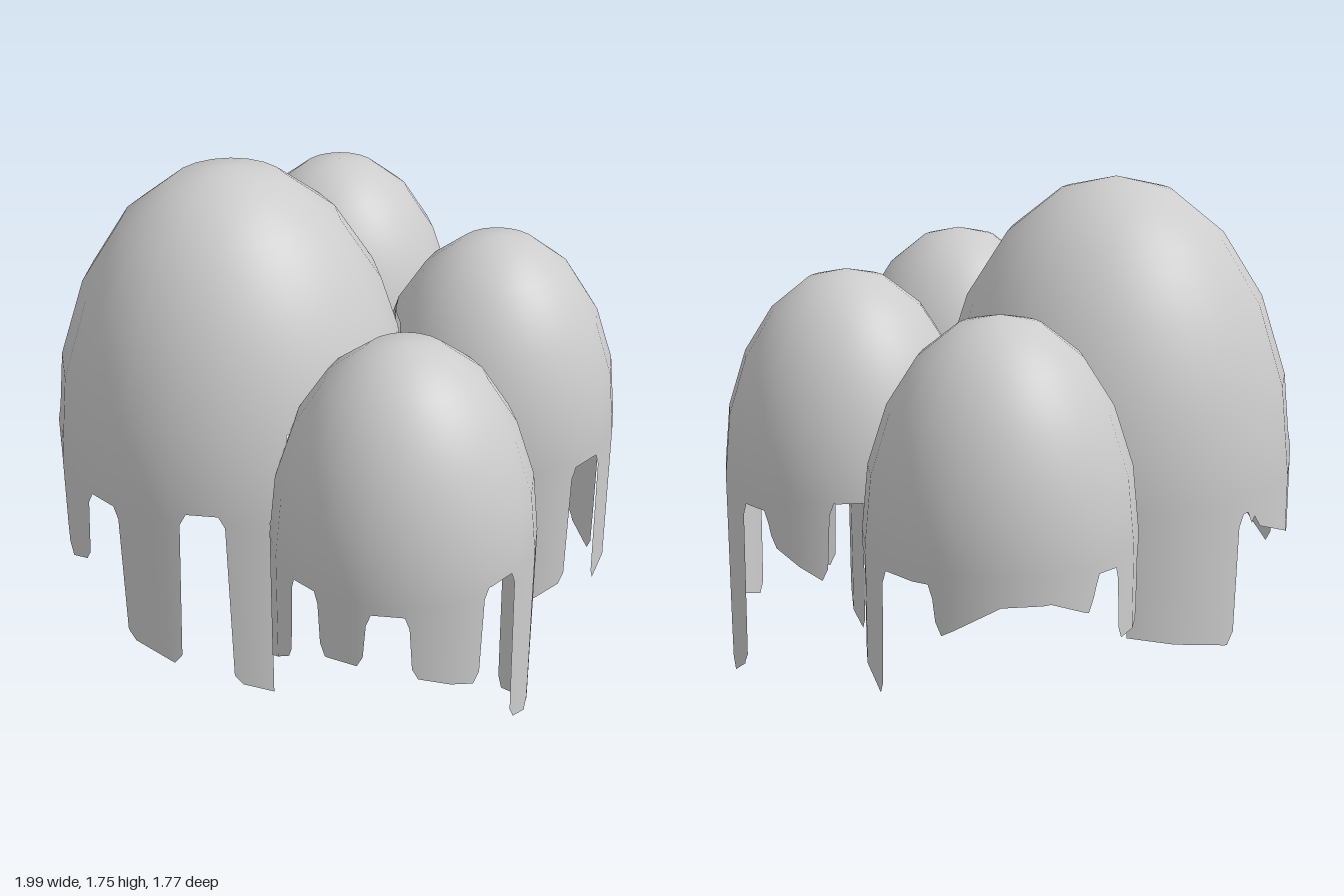
import * as THREE from 'three';

const RAD = Math.PI / 180;
const EQUATOR = 0.8;      // height where the domes turn into hanging skirts
const FACET = 18;         // degrees per coarse facet
const PHASE = -4;

// Strips: [startDeg, endDeg, bottomAtStart, bottomAtEnd, gapTopAfter, bottomAtMiddle?]
// Angles run from +z towards +x.
const DOMES = [
  { name: 'largeDome', x: -0.25, z: 0.28, r: 0.6, h: 0.955, start: -190, gap: 0.78,
    strips: [
      [-135, -90, 0.4, 0.32, 0.75],
      [-82, -43, 0.69, 0.56, 0.84],
      [-22, -3, 0.43, 0.5, 0.785],
      [13, 33, 0.28, 0.235, 0.83],
      [49, 66, 0.17, 0.12, 0.8]] },
  { name: 'frontSmallDome', x: 0.58, z: 0.275, r: 0.418, h: 0.666, start: -100, gap: 0.8,
    strips: [
      [-60, -8, 0.23, 0.47, 0.79],
      [10, 31, 0.57, 0.57, 0.77],
      [51, 82, 0.54, 0.48, 0.825],
      [102, 122, 0.25, 0.2, 0.75],
      [141, 174, 0.08, 0, 0.76]] },
  { name: 'backSmallDome', x: 0.24, z: -0.45, r: 0.418, h: 0.666, start: 0, gap: 0.75,
    strips: [
      [64, 84, 0.29, 0.32, 0.775],
      [105, 135, 0.25, 0.31, 0.71],
      [158, 178, 0.12, 0.18, 0.75],
      [197, 225, 0.63, 0.54, 0.8]] },
  { name: 'backSideDome', x: -0.58, z: -0.47, r: 0.418, h: 0.666, start: 30, gap: 0.74,
    strips: [
      [96, 132, 0.66, 0.66, 0.75],
      [154, 175, 0.42, 0.36, 0.76],
      [204, 272, 0.61, 0.66, 0.77, 0.71],
      [288, 315, 0.535, 0.535, 0.76]] },
];

// Lower edge of the skirt as [deg, y] points with rounded strip corners
function skirtOutline({ start, gap, strips }) {
  const points = [[start, gap]];
  let before = gap;
  for (const [a, b, ya, yb, after, mid] of strips) {
    points.push([a - 3, before], [a - 1, before - 0.04], [a + 0.3, ya + 0.04], [a + 3, ya]);
    if (mid) points.push([a + (b - a) * 0.4, mid], [a + (b - a) * 0.7, mid]);
    points.push([b - 3, yb], [b - 0.3, yb + 0.04], [b + 1, after - 0.04], [b + 3, after]);
    before = after;
  }
  points.push([start + 360, before]);
  return points;
}

function sample(points, deg) {
  for (let i = 1; i < points.length; i++) {
    const [a, ya] = points[i - 1], [b, yb] = points[i];
    if (deg <= b) return b === a ? yb : ya + ((yb - ya) * (deg - a)) / (b - a);
  }
  return points[points.length - 1][1];
}

// Vertical planes where a dome meets its neighbours
function joinPlanes(dome) {
  const planes = [];
  for (const other of DOMES) {
    if (other === dome) continue;
    const dx = other.x - dome.x, dz = other.z - dome.z, d = Math.hypot(dx, dz);
    if (d >= dome.r + other.r) continue;
    const dist = (d * d + dome.r ** 2 - other.r ** 2) / (2 * d);
    planes.push({ dir: Math.atan2(dx, dz) / RAD, dist, half: Math.acos(dist / dome.r) / RAD });
  }
  return planes;
}

// Dome profile, straight between coarse rings
function profileRings(dome) {
  const rings = [], sub = 3;
  for (let k = 0; k < 5; k++) {
    for (let s = 0; s < sub; s++) {
      const t = s / sub, a = k * 18 * RAD, b = (k + 1) * 18 * RAD;
      rings.push([
        dome.r * THREE.MathUtils.lerp(Math.sin(a), Math.sin(b), t),
        EQUATOR + dome.h * THREE.MathUtils.lerp(Math.cos(a), Math.cos(b), t)]);
    }
  }
  rings.push([dome.r, EQUATOR], [dome.r, -1]);
  return rings;
}

function domeGeometry(dome) {
  const outline = skirtOutline(dome), planes = joinPlanes(dome), rings = profileRings(dome);
  const wrap = (deg) => dome.start + ((((deg - dome.start) % 360) + 360) % 360);

  // Columns at facet edges, strip corners and joins
  let columns = outline.map((p) => p[0]);
  for (let d = 0; d < 360; d += FACET / 4) columns.push(wrap(PHASE + d));
  for (const p of planes) columns.push(wrap(p.dir - p.half), wrap(p.dir + p.half));
  columns.sort((a, b) => a - b);
  columns = columns.filter((d, i) => i === 0 || d - columns[i - 1] > 1e-4);

  const positions = [], normals = [], joined = [], index = [];
  const rows = rings.length;
  for (const deg of columns) {
    const bottom = sample(outline, deg), sin = Math.sin(deg * RAD), cos = Math.cos(deg * RAD);
    const local = ((((deg - PHASE) % FACET) + FACET) % FACET) - FACET / 2;
    const flat = Math.cos((FACET / 2) * RAD) / Math.cos(local * RAD);
    for (const [ringR, ringY] of rings) {
      const y = Math.max(ringY, bottom);
      let r = ringR * flat, hit = false;
      for (const p of planes) {
        const c = Math.cos((deg - p.dir) * RAD);
        if (c > 0 && ringR * c >= p.dist - 1e-6) {
          hit = true;
          r = Math.min(r, p.dist / c);
        }
      }
      positions.push(dome.x + r * sin, y, dome.z + r * cos);
      const n = new THREE.Vector3(
        (sin * ringR) / dome.r ** 2, Math.max(0, y - EQUATOR) / dome.h ** 2, (cos * ringR) / dome.r ** 2);
      normals.push(...n.normalize().toArray());
      joined.push(hit);
    }
  }
  // Leave out everything lying inside a neighbouring dome
  const face = (a, b, c) => {
    if (!(joined[a] && joined[b] && joined[c])) index.push(a, b, c);
  };
  for (let j = 0; j < columns.length - 1; j++) {
    for (let i = 0; i < rows - 1; i++) {
      const a = j * rows + i, d = a + rows;
      face(a, a + 1, d + 1);
      if (i > 0) face(a, d + 1, d);
    }
  }
  const geometry = new THREE.BufferGeometry();
  geometry.setAttribute('position', new THREE.Float32BufferAttribute(positions, 3));
  geometry.setAttribute('normal', new THREE.Float32BufferAttribute(normals, 3));
  geometry.setIndex(index);
  return geometry;
}

export function createModel() {
  const group = new THREE.Group();
  group.name = 'domeCluster';
  const material = new THREE.MeshStandardMaterial({ color: 0xcccccc, side: THREE.DoubleSide });
  material.name = 'light grey';
  for (const dome of DOMES) {
    const mesh = new THREE.Mesh(domeGeometry(dome), material);
    mesh.name = dome.name;
    group.add(mesh);
  }
  return group;
}
